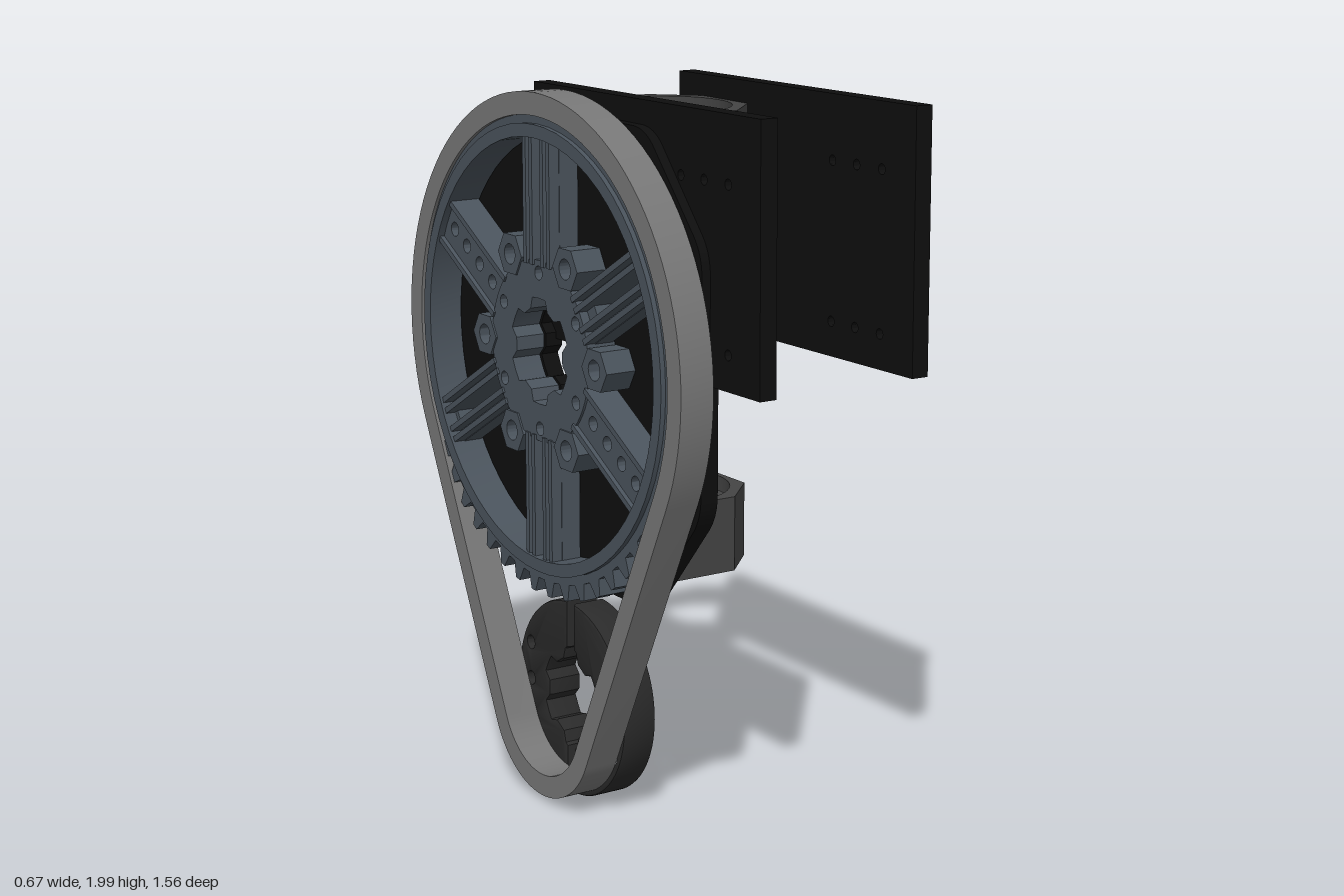
import * as THREE from 'three';
import { toCreasedNormals } from 'three/addons/utils/BufferGeometryUtils.js';

const mat = (color) => new THREE.MeshStandardMaterial({ color });
const BLACK = mat(0x0e0e0e), BELT = mat(0x777777), WHEEL = mat(0x4a535c),
  BLOCK = mat(0x444444), CLAMP = mat(0x2a2a2a);
const AXIS = 0.08;                 // shared axis; side profiles use (-z, y)
const HUB_Y = 1.29, CLAMP_Y = 0.285;
const rad = THREE.MathUtils.degToRad;
const polar = (r, a) => new THREE.Vector2(r * Math.cos(a), r * Math.sin(a));

function mesh(name, geo, material) {
  const m = new THREE.Mesh(toCreasedNormals(geo, 0.5), material);
  m.name = name;
  return m;
}

// Extrude a side profile along x, from x0 to x1
function slab(name, shape, x0, x1, material, bevel = 0) {
  const geo = new THREE.ExtrudeGeometry(shape, {
    depth: x1 - x0 - 2 * bevel, curveSegments: 32,
    bevelEnabled: bevel > 0, bevelSize: bevel, bevelThickness: bevel, bevelSegments: 2,
  });
  geo.translate(0, 0, x0 + bevel).rotateY(Math.PI / 2);
  return mesh(name, geo, material);
}

function circle(x, y, r) {
  const p = new THREE.Path();
  p.absarc(x, y, r, 0, Math.PI * 2, true);
  return p;
}

function disc(r, x = 0, y = 0) {
  const s = new THREE.Shape();
  s.absarc(x, y, r, 0, Math.PI * 2);
  return s;
}

// Polygon with softened corners
function roundedPoly(pts, r) {
  const v = pts.map(([x, y]) => new THREE.Vector2(x, y));
  const s = new THREE.Shape();
  v.forEach((p, i) => {
    const toward = (q) => p.clone().add(q.clone().sub(p).setLength(r));
    const a = toward(v[(i + v.length - 1) % v.length]), b = toward(v[(i + 1) % v.length]);
    if (i === 0) s.moveTo(a.x, a.y); else s.lineTo(a.x, a.y);
    s.quadraticCurveTo(p.x, p.y, b.x, b.y);
  });
  s.closePath();
  return s;
}

// Six-lobed shaft bore
function lobedPoints(cx = 0, cy = 0) {
  const pts = [];
  for (let k = 0; k < 6; k++) {
    for (const [d, r] of [[-21, 0.12], [-13, 0.148], [0, 0.146], [13, 0.148], [21, 0.12]]) {
      pts.push(polar(r, rad(30 + 60 * k + d)).add(new THREE.Vector2(cx, cy)));
    }
  }
  return pts;
}

// Open loop around a large and a small circle
function beltLoop(path, R, r, y0, y1) {
  const a = Math.asin((R - r) / (y1 - y0));
  path.absarc(AXIS, y1, R, -a, Math.PI + a);
  path.absarc(AXIS, y0, r, Math.PI + a, 2 * Math.PI - a);
  path.closePath();
  return path;
}

function makeBelt() {
  const s = beltLoop(new THREE.Shape(), 0.7, 0.265, CLAMP_Y, HUB_Y);
  s.holes.push(beltLoop(new THREE.Path(), 0.638, 0.203, CLAMP_Y, HUB_Y));
  return slab('belt', s, -0.335, -0.236, BELT);
}

function makeWheel() {
  const g = new THREE.Group();
  g.name = 'drivenWheel';
  g.position.set(0, HUB_Y, -AXIS);

  // Toothed rim with a flange
  const teeth = 50, outline = [];
  for (let i = 0; i < teeth; i++) {
    for (const [d, r] of [[-0.32, 0.64], [-0.12, 0.684], [0.12, 0.684], [0.32, 0.64]]) {
      outline.push(polar(r, ((i + d) / teeth) * Math.PI * 2));
    }
  }
  const rim = new THREE.Shape(outline);
  rim.holes.push(circle(0, 0, 0.6));
  g.add(slab('toothedRim', rim, -0.325, -0.242, WHEEL));
  const flange = disc(0.616);
  flange.holes.push(circle(0, 0, 0.58));
  g.add(slab('rimFlange', flange, -0.339, -0.238, WHEEL));

  // Hub with lobed bore and bolt holes
  const hub = disc(0.25);
  hub.holes.push(new THREE.Path(lobedPoints()));
  for (let k = 0; k < 6; k++) {
    const p = polar(0.215, rad(30 + 60 * k));
    hub.holes.push(circle(p.x, p.y, 0.019));
  }
  g.add(slab('hub', hub, -0.325, -0.238, WHEEL));

  for (let k = 0; k < 6; k++) {
    // Spoke web: drilled on one diameter, slotted on the others
    const spoke = new THREE.Group();
    spoke.name = 'spoke';
    const web = new THREE.Shape([[0.24, -0.07], [0.59, -0.07], [0.59, 0.07], [0.24, 0.07]]
      .map(([x, y]) => new THREE.Vector2(x, y)));
    const drilled = k % 3 === 0;
    if (drilled) {
      for (const r of [0.3, 0.38, 0.46, 0.537]) web.holes.push(circle(r, 0, 0.02));
    } else {
      web.holes.push(new THREE.Path([[0.29, -0.02], [0.29, 0.02], [0.565, 0.02], [0.565, -0.02]]
        .map(([x, y]) => new THREE.Vector2(x, y))));
    }
    spoke.add(slab('spokeWeb', web, drilled ? -0.318 : -0.3, -0.245, WHEEL));
    // Raised rails along the spoke
    for (const y of drilled ? [-0.063, 0.063] : [-0.06, -0.028, 0.028, 0.06]) {
      const rail = new THREE.BoxGeometry(0.09, 0.016, 0.36);
      rail.translate(-0.286, y, -0.415);
      spoke.add(mesh('spokeRail', rail, WHEEL));
    }
    spoke.rotation.x = rad(30 + 60 * k);
    g.add(spoke);

    // Hexagonal boss between spokes
    const c = polar(0.285, rad(60 * k));
    const hex = new THREE.Shape();
    for (let i = 0; i < 6; i++) {
      const p = polar(0.062, rad(60 * i)).add(c);
      if (i) hex.lineTo(p.x, p.y); else hex.moveTo(p.x, p.y);
    }
    hex.holes.push(circle(c.x, c.y, 0.028));
    g.add(slab('hexBoss', hex, -0.33, -0.24, WHEEL));
  }
  return g;
}

function makeMainPlate() {
  const s = roundedPoly([[-0.3, 0.645], [0.47, 0.645], [0.72, 0.95], [0.72, 1.64],
    [0.46, 1.93], [-0.3, 1.93], [-0.56, 1.64], [-0.56, 0.95]], 0.06);
  s.holes.push(new THREE.Path(lobedPoints(AXIS, HUB_Y)));
  for (let k = 0; k < 6; k++) {
    const p = polar(0.215, rad(30 + 60 * k));
    s.holes.push(circle(AXIS + p.x, HUB_Y + p.y, 0.019));
  }
  for (const sx of [-1, 1]) for (const sy of [-1, 1]) {
    s.holes.push(circle(AXIS + sx * 0.465, HUB_Y + sy * 0.268, 0.019));
  }
  return slab('mainPlate', s, -0.232, -0.18, BLACK);
}

// Rectangular side plate, built around its own centre
function makeSidePlate(name, x) {
  const s = new THREE.Shape([[-0.54, -0.35], [0.54, -0.35], [0.54, 0.35], [-0.54, 0.35]]
    .map(([a, b]) => new THREE.Vector2(a, b)));
  for (const u of [-0.4, -0.293, -0.188]) for (const v of [-0.255, 0.175]) {
    s.holes.push(circle(u, v, 0.014));
  }
  for (const v of [0.22, 0.115, 0.01, -0.095, -0.2]) s.holes.push(circle(0.496, v, 0.02));
  const plate = slab(name, s, -0.025, 0.025, BLACK);
  plate.position.set(x, 1.645, 0.238);
  plate.rotation.set(-0.01, -0.01, 0);
  return plate;
}

// Chamfered tube block with a narrower lip inside the bore
function makeTubeBlock(name, y0) {
  const g = new THREE.Group();
  g.name = name;
  for (const [a, b, r] of [[0, 0.045, 0.198], [0.045, 0.17, 0.173], [0.17, 0.213, 0.198]]) {
    const s = new THREE.Shape([[-0.15, -0.14], [0.17, -0.14], [0.28, -0.03], [0.28, 0.19],
      [0.17, 0.3], [-0.15, 0.3]].map(([x, y]) => new THREE.Vector2(x, y)));
    s.holes.push(circle(0.065, AXIS, r));
    const geo = new THREE.ExtrudeGeometry(s, { depth: b - a, bevelEnabled: false, curveSegments: 32 });
    geo.rotateX(-Math.PI / 2).translate(0, y0 + a, 0);
    g.add(mesh('blockLayer', geo, BLOCK));
  }
  return g;
}

// Half of the split shaft clamp
function makeClampHalf(side) {
  const R = 0.272, gap = 0.024, a = Math.acos(gap / R), pts = [];
  for (let i = 0; i <= 40; i++) pts.push(polar(R, -a + (2 * a * i) / 40));
  const inner = lobedPoints().filter((p) => p.x > gap).sort((p, q) => q.angle2 - p.angle2);
  inner.sort((p, q) => Math.atan2(q.y, q.x) - Math.atan2(p.y, p.x));
  pts.push(new THREE.Vector2(gap, 0.15), ...inner, new THREE.Vector2(gap, -0.15));
  const s = new THREE.Shape(pts.map((p) => new THREE.Vector2(p.x * side, p.y)));
  for (const y of [-0.107, 0, 0.107]) s.holes.push(circle(0.215 * side, y, 0.026));
  const half = slab('clampHalf', s, -0.235, -0.132, CLAMP, 0.008);
  half.position.set(0, CLAMP_Y, -AXIS);
  return half;
}

export function createModel() {
  const model = new THREE.Group();
  model.name = 'beltDriveMount';
  const clamp = new THREE.Group();
  clamp.name = 'splitShaftClamp';
  clamp.add(makeClampHalf(1), makeClampHalf(-1));
  model.add(makeBelt(), makeWheel(), makeMainPlate(), clamp,
    makeSidePlate('innerSidePlate', -0.178), makeSidePlate('outerSidePlate', 0.302),
    makeTubeBlock('upperTubeBlock', 1.718), makeTubeBlock('lowerTubeBlock', 0.647));
  return model;
}
